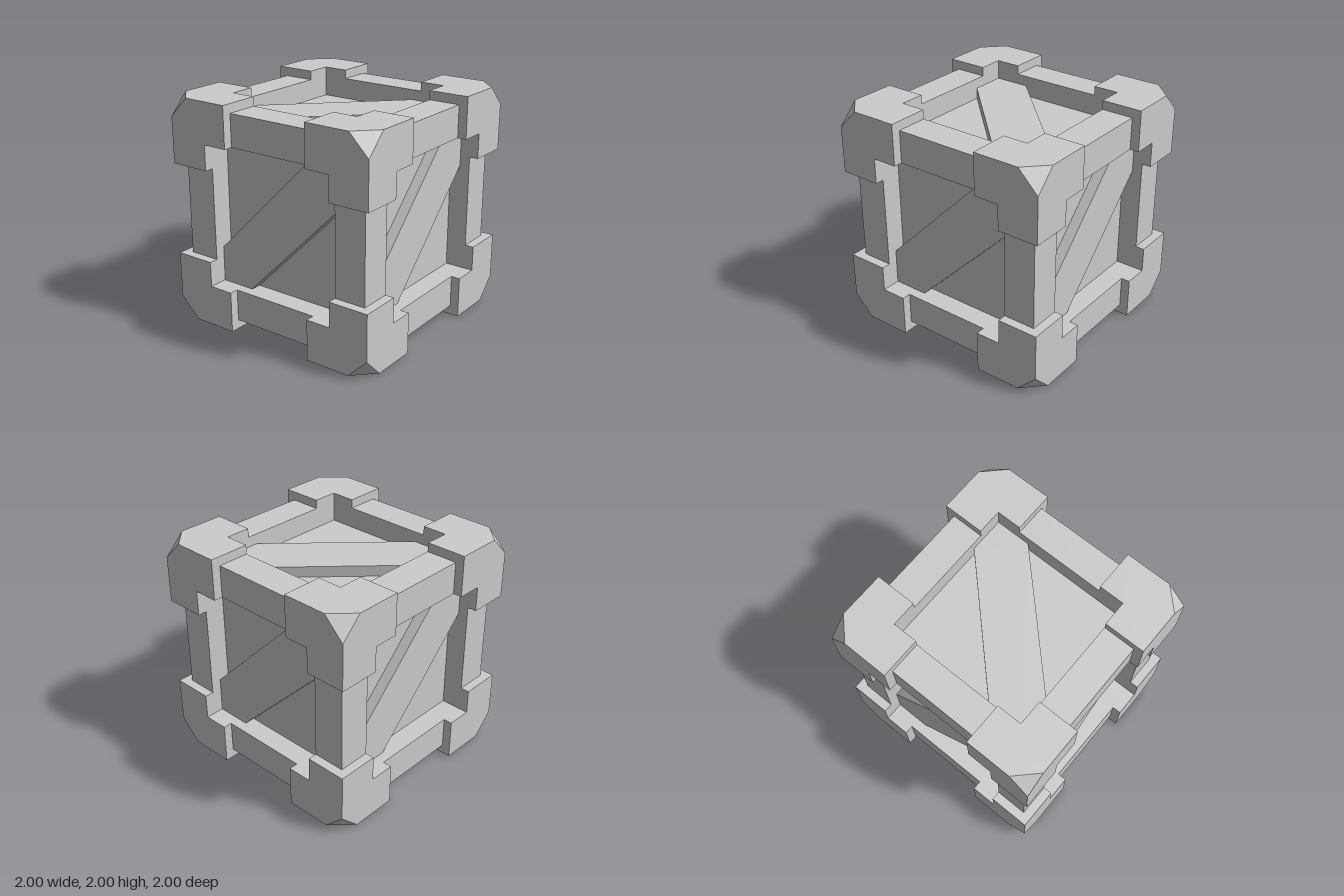
import * as THREE from 'three';
import { ConvexGeometry } from 'three/addons/geometries/ConvexGeometry.js';

const OUT = 1;        // outer face of the corner blocks
const BEAM = 0.92;    // outer face of the edge beams
const OPEN = 0.634;   // half width of each framed opening
const ARM = 0.41;     // where the corner blocks end along a beam
const PANEL = 0.735;  // face of the recessed panels
const BRACE = 0.83;   // face of the diagonal braces
const CUT = 0.18;     // corner chamfer

const material = new THREE.MeshStandardMaterial({ color: 0xcccccc, flatShading: true });

function add(parent, name, geometry) {
  const mesh = new THREE.Mesh(geometry, material);
  mesh.name = name;
  parent.add(mesh);
  return mesh;
}

// Box between two opposite corners, given as [x, y, z]
function boxBetween(a, b) {
  const size = a.map((v, i) => Math.abs(b[i] - v));
  const mid = a.map((v, i) => (v + b[i]) / 2);
  return new THREE.BoxGeometry(...size).translate(...mid);
}

// Chamfered core with three short arms that wrap the beams
function cornerBlock(signs) {
  const group = new THREE.Group();
  group.name = 'cornerBlock';
  const points = [];
  for (const x of [OPEN, OUT]) for (const y of [OPEN, OUT]) for (const z of [OPEN, OUT]) {
    const p = [x, y, z];
    if (x + y + z < 3 * OUT) points.push(p);
    else for (let i = 0; i < 3; i++) points.push(p.map((v, k) => (k === i ? v - CUT : v)));
  }
  add(group, 'cornerCore', new ConvexGeometry(
    points.map(p => new THREE.Vector3(...p.map((v, i) => v * signs[i])))));
  for (let axis = 0; axis < 3; axis++) {
    const from = signs.map((s, i) => s * (i === axis ? ARM : OPEN));
    const to = signs.map((s, i) => s * (i === axis ? OPEN : OUT));
    add(group, 'cornerArm', boxBetween(from, to));
  }
  return group;
}

export function createModel() {
  const model = new THREE.Group();
  model.name = 'crate';
  const crate = new THREE.Group();
  crate.name = 'crateBody';
  crate.position.y = 1;
  model.add(crate);

  // Recessed panels on all six sides
  add(crate, 'panels', new THREE.BoxGeometry(2 * PANEL, 2 * PANEL, 2 * PANEL));

  // Corner blocks
  for (const x of [-1, 1]) for (const y of [-1, 1]) for (const z of [-1, 1]) {
    crate.add(cornerBlock([x, y, z]));
  }

  // Four edge beams along each axis
  for (let axis = 0; axis < 3; axis++) {
    for (const s of [-1, 1]) for (const t of [-1, 1]) {
      const from = [s * OPEN, t * OPEN], to = [s * BEAM, t * BEAM];
      from.splice(axis, 0, -ARM);
      to.splice(axis, 0, ARM);
      add(crate, 'edgeBeam', boxBetween(from, to));
    }
  }

  // Diagonal brace on each side, cut to fit the opening
  const inner = 0.318;
  const outline = new THREE.Shape([
    [-OPEN, -OPEN], [-inner, -OPEN], [OPEN, inner],
    [OPEN, OPEN], [inner, OPEN], [-OPEN, -inner],
  ].map(p => new THREE.Vector2(...p)));
  const braceGeometry = new THREE.ExtrudeGeometry(outline, { depth: BRACE - 0.7, bevelEnabled: false })
    .translate(0, 0, 0.7);
  const q = Math.PI / 2;
  const sides = {
    front: [0, 0, 0], left: [0, q, 0], back: [0, 2 * q, 0], right: [0, -q, 0],
    top: [-q, 0, 0], bottom: [q, 0, q],
  };
  for (const [side, turn] of Object.entries(sides)) {
    add(crate, side + 'Brace', braceGeometry).rotation.set(...turn);
  }

  return model;
}
